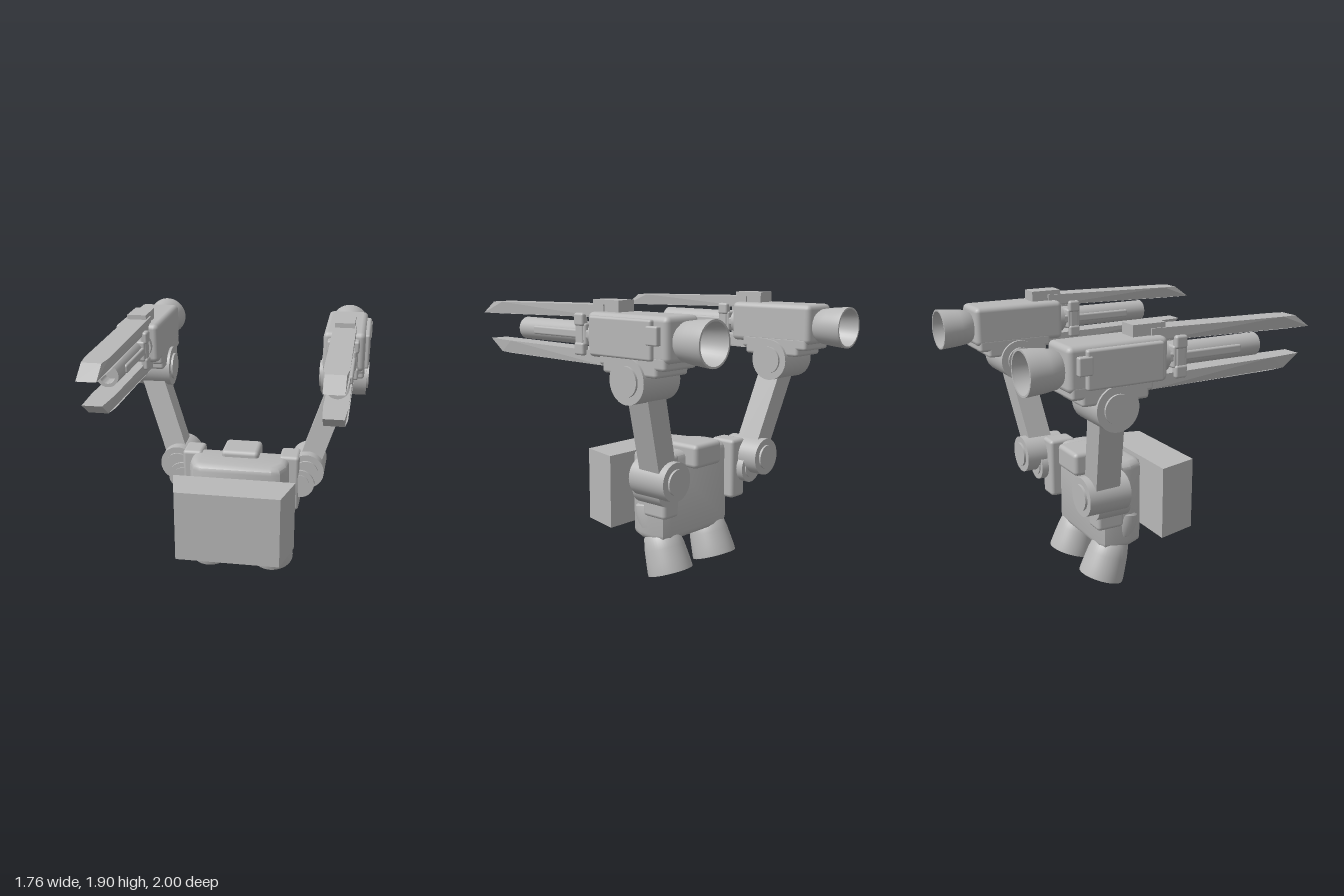
import * as THREE from 'three';
import { toCreasedNormals } from 'three/addons/utils/BufferGeometryUtils.js';
import { RoundedBoxGeometry } from 'three/addons/geometries/RoundedBoxGeometry.js';

const grey = new THREE.MeshStandardMaterial({ color: 0xb8b8b8, side: THREE.DoubleSide });
grey.name = 'plain grey';

function add(parent, name, geometry, x = 0, y = 0, z = 0) {
  const mesh = new THREE.Mesh(geometry, grey);
  mesh.name = name;
  mesh.position.set(x, y, z);
  parent.add(mesh);
  return mesh;
}

// Softened box given by its limits on each axis
function block(parent, name, [x0, x1], [y0, y1], [z0, z1], r = 0.02) {
  const w = Math.abs(x1 - x0), h = y1 - y0, d = z1 - z0;
  const geo = r > 0 ? new RoundedBoxGeometry(w, h, d, 2, r) : new THREE.BoxGeometry(w, h, d);
  return add(parent, name, geo, (x0 + x1) / 2, (y0 + y1) / 2, (z0 + z1) / 2);
}

// Cylinder along x or z with a slightly proud, narrower cap on both ends
function joint(parent, name, axis, r, length, x, y, z, cap = 0.015) {
  const group = new THREE.Group();
  group.name = name;
  group.position.set(x, y, z);
  if (axis === 'x') group.rotation.z = Math.PI / 2;
  else group.rotation.x = Math.PI / 2;
  add(group, name + 'Drum', new THREE.CylinderGeometry(r, r, length, 40));
  add(group, name + 'Cap', new THREE.CylinderGeometry(r * 0.66, r * 0.66, length + 2 * cap, 40));
  parent.add(group);
}

// Hollow bell: rim at y = 0, neck at y = length
function bell(rim, neck, length) {
  const outer = [[1, 0], [1, 0.06], [0.93, 0.25], [0.8, 0.55], [0.6, 0.82], [0, 1]]
    .map(([t, h]) => [neck + (rim - neck) * t, h * length]);
  const wall = 0.012;
  const inner = outer.slice(0, 5).reverse().map(([r, h]) => [r - wall, h]);
  const pts = [[0, inner[0][1]], ...inner, ...outer, [0, length]];
  const geo = new THREE.LatheGeometry(pts.map(([r, h]) => new THREE.Vector2(r, h)), 40);
  return toCreasedNormals(geo, 0.6);
}

// Side profile of [z, y] points given a width along x
function sideProfile(points, width) {
  const shape = new THREE.Shape(points.map(([z, y]) => new THREE.Vector2(z, y)));
  const geo = new THREE.ExtrudeGeometry(shape, { depth: width, bevelEnabled: false });
  geo.translate(0, 0, -width / 2);
  geo.rotateY(-Math.PI / 2);
  return geo;
}

// Long rail whose tip narrows in plan
function rail(points, taperFrom) {
  const geo = sideProfile(points, 0.15);
  const p = geo.attributes.position;
  for (let i = 0; i < p.count; i++) if (p.getZ(i) > taperFrom) p.setX(i, p.getX(i) * 0.83);
  geo.computeVertexNormals();
  return geo;
}

// Plan outline of [x, z] points (right half, mirrored), raised along y with a bevel
function planBody(half, y0, y1, bevel) {
  const all = [...half, ...half.map(([x, z]) => [-x, z]).reverse()];
  const shape = new THREE.Shape(all.map(([x, z]) => new THREE.Vector2(x, -z)));
  const geo = new THREE.ExtrudeGeometry(shape, {
    depth: y1 - y0 - 2 * bevel, bevelThickness: bevel, bevelSize: bevel,
    bevelOffset: -bevel, bevelSegments: 3,
  });
  geo.rotateX(-Math.PI / 2);
  geo.translate(0, y0 + bevel, 0);
  return toCreasedNormals(geo, 0.6);
}

function buildCannon(s) {
  const gun = new THREE.Group();
  gun.name = s > 0 ? 'leftCannon' : 'rightCannon';
  gun.position.set(s * 0.705, 1.69, 0);

  // Housing with a stepped underside
  block(gun, 'housing', [-0.14, 0.14], [-0.125, 0.145], [-0.775, -0.12], 0.035);
  block(gun, 'upperStep', [-0.14, 0.14], [-0.165, -0.08], [-0.755, -0.22], 0.02);
  block(gun, 'lowerStep', [-0.14, 0.14], [-0.21, -0.12], [-0.69, -0.25], 0.02);
  block(gun, 'sidePlate', [s * 0.12, s * 0.168], [-0.11, 0.125], [-0.67, -0.165], 0.015);
  block(gun, 'sideLatch', [s * 0.13, s * 0.175], [-0.02, 0.09], [-0.725, -0.635], 0.01);
  block(gun, 'sight', [-0.065, 0.065], [0.13, 0.215], [-0.32, -0.1], 0);

  // Twin rails
  add(gun, 'upperRail', rail([[-0.2, 0.11], [0.78, 0.089], [1, 0.085], [0.885, 0.165],
    [0.78, 0.167], [-0.2, 0.186]], 0.8));
  add(gun, 'lowerRail', rail([[-0.2, -0.18], [0.7, -0.17], [0.81, -0.168], [0.925, -0.085],
    [0.7, -0.088], [-0.2, -0.097]], 0.75));

  // Barrel with a recessed muzzle
  const profile = [[0, 0.5], [0.05, 0.5], [0.05, 0.605], [0.072, 0.605], [0.072, -0.08],
    [0.098, -0.08], [0.098, -0.2], [0, -0.2]].reverse();
  const barrel = new THREE.LatheGeometry(profile.map(([r, h]) => new THREE.Vector2(r, h)), 40);
  add(gun, 'barrel', toCreasedNormals(barrel, 0.6)).rotation.x = Math.PI / 2;
  block(gun, 'barrelRib', [-0.085, 0.085], [-0.027, 0.027], [-0.12, 0.45], 0.012);

  // Clamp around barrel
  block(gun, 'clampBand', [-0.09, 0.09], [-0.07, 0.07], [-0.055, 0.045], 0.015);
  for (const side of [-1, 1]) {
    block(gun, 'clampUpperLug', [side * 0.055, side * 0.105], [0.05, 0.13], [-0.045, 0.038], 0.015);
    block(gun, 'clampLowerLug', [side * 0.055, side * 0.105], [-0.13, -0.05], [-0.045, 0.038], 0.015);
    block(gun, 'clampSide', [side * 0.06, side * 0.097], [-0.08, 0.08], [-0.035, 0.028], 0.01);
  }

  // Rear exhaust
  add(gun, 'rearExhaust', bell(0.137, 0.085, 0.245), 0, 0, -1).rotation.x = Math.PI / 2;
  return gun;
}

function buildArm(s) {
  const arm = new THREE.Group();
  arm.name = s > 0 ? 'leftArm' : 'rightArm';
  block(arm, 'shoulderMount', [s * 0.28, s * 0.425], [0.48, 0.9], [-0.37, -0.175], 0.025);
  joint(arm, 'innerJoint', 'z', 0.105, 0.23, s * 0.43, 0.69, -0.305, 0.008);
  joint(arm, 'shoulderJoint', 'z', 0.128, 0.295, s * 0.472, 0.775, -0.37);
  joint(arm, 'elbowJoint', 'x', 0.14, 0.315, s * 0.703, 1.447, -0.468);

  // Strut leaning outward and back
  const a = new THREE.Vector3(s * 0.467, 0.75, -0.368);
  const b = new THREE.Vector3(s * 0.692, 1.42, -0.453);
  const strut = add(arm, 'strut', new THREE.BoxGeometry(0.155, a.distanceTo(b), 0.17));
  strut.position.copy(a).lerp(b, 0.5);
  strut.quaternion.setFromUnitVectors(new THREE.Vector3(0, 1, 0), b.clone().sub(a).normalize());
  return arm;
}

function buildThruster(s) {
  const thruster = new THREE.Group();
  thruster.name = s > 0 ? 'leftThruster' : 'rightThruster';
  thruster.position.set(s * 0.235, 0.06, -0.253);
  thruster.rotation.x = 0.33;
  add(thruster, 'thrusterBell', bell(0.155, 0.075, 0.31));

  // Feed drum bulging from the flank of the pack
  const drum = new THREE.LatheGeometry([[0, -0.09], [0.085, -0.09], [0.105, -0.065], [0.105, 0.03],
    [0.09, 0.085], [0.07, 0.1], [0, 0.1]].map(([r, h]) => new THREE.Vector2(r, h)), 32);
  const mesh = add(thruster, 'feedDrum', toCreasedNormals(drum, 0.6), s * 0.025, 0.41, 0.015);
  mesh.rotation.x = -0.1;
  mesh.rotation.z = -s * 0.15;
  return thruster;
}

export function createModel() {
  const model = new THREE.Group();
  model.name = 'twinCannonPack';

  // Front shield block, narrower toward the front
  const shield = new THREE.BoxGeometry(0.86, 0.505, 0.285);
  const p = shield.attributes.position;
  for (let i = 0; i < p.count; i++) if (p.getZ(i) > 0) p.setX(i, p.getX(i) * 0.837);
  shield.computeVertexNormals();
  add(model, 'frontBlock', shield, 0, 0.583, 0.263);

  // Pack body and top hatch
  add(model, 'packBody', planBody([[0.25, 0.042], [0.31, 0.01], [0.35, -0.08],
    [0.355, -0.2], [0.33, -0.27], [0.28, -0.297]], 0.28, 0.887, 0.05));
  block(model, 'topHatch', [-0.135, 0.135], [0.77, 0.932], [-0.39, -0.14], 0.03);

  for (const s of [-1, 1]) model.add(buildArm(s), buildCannon(s), buildThruster(s));
  return model;
}
